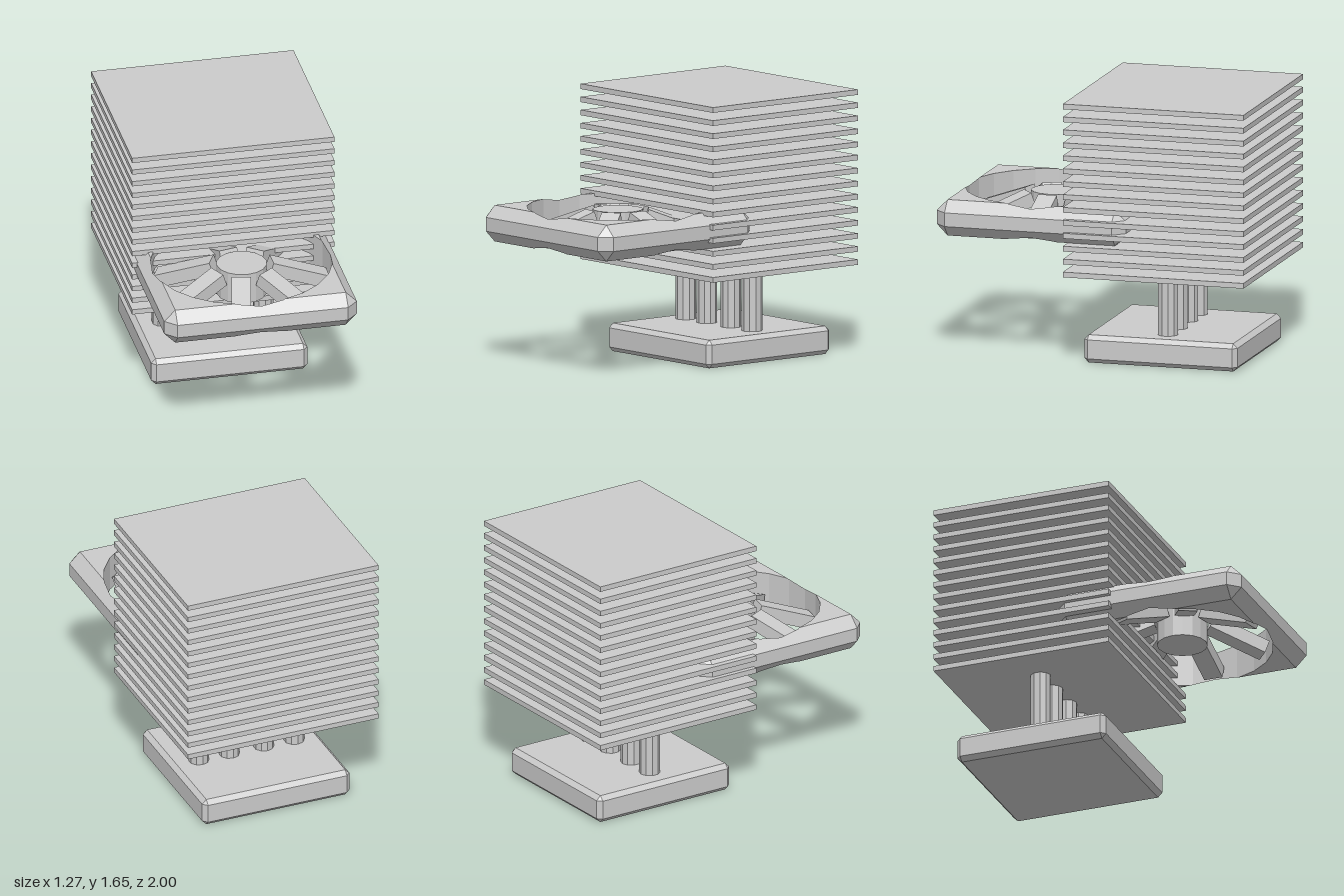
import * as THREE from 'three';
import { ConvexGeometry } from 'three/addons/geometries/ConvexGeometry.js';

const material = new THREE.MeshStandardMaterial({ color: 0xcccccc, flatShading: true });

function add(parent, name, geometry, x = 0, y = 0, z = 0) {
  const mesh = new THREE.Mesh(geometry, material);
  mesh.name = name;
  mesh.position.set(x, y, z);
  parent.add(mesh);
  return mesh;
}

// Box with every edge cut at 45 degrees
function bevelledBox(w, h, d, c) {
  const points = [];
  for (const sx of [-1, 1]) for (const sy of [-1, 1]) for (const sz of [-1, 1]) {
    for (const [a, b, e] of [[0, c, c], [c, 0, c], [c, c, 0]]) {
      points.push(new THREE.Vector3(sx * (w / 2 - a), sy * (h / 2 - b), sz * (d / 2 - e)));
    }
  }
  return new ConvexGeometry(points);
}

// Square bevelled frame with a 24-sided hole that cuts slightly into the bevel
function fanFrame(half, halfH, c, radius) {
  const flat = half - c;
  const hole = (k) => [radius * Math.cos(k * Math.PI / 12), radius * Math.sin(k * Math.PI / 12)];
  const [h0, h1, h2, h3] = [0, 1, 2, 3].map(hole);
  const t = (h1[0] - flat) / (h1[0] - h2[0]);
  const cross = [flat, h1[1] + t * (h2[1] - h1[1])];

  // Rows of [hole, rim, outer] points in plan, for one eighth of the frame
  const eighth = [h0, h1, cross, h2].map((p) => [p, [Math.max(p[0], flat), p[1]], [half, p[1]]]);
  eighth.push([h3, [flat, flat], [half, flat]]);
  const mirrored = eighth.slice(1).reverse().map((row) => row.map(([x, z]) => [z, x]));
  const quarter = [...eighth, ...mirrored];

  // Turn each row into a closed section and repeat it on four sides
  const height = ([x, z]) => halfH - Math.max(0, Math.max(x, z) - flat);
  const sections = [];
  for (let q = 0; q < 4; q++) {
    const cs = [1, 0, -1, 0][q], sn = [0, 1, 0, -1][q];
    for (const row of quarter) {
      const top = row.map(([x, z]) => [x * cs - z * sn, height([x, z]), x * sn + z * cs]);
      const bottom = top.map(([x, y, z]) => [x, -y, z]);
      sections.push([...bottom, ...top.reverse()]);
    }
  }

  // Join neighbouring sections, leaving out empty triangles
  const positions = [];
  const triangle = (a, b, d) => {
    const [A, B, D] = [a, b, d].map((p) => new THREE.Vector3(...p));
    if (B.sub(A).cross(D.sub(A)).length() > 1e-8) positions.push(...a, ...b, ...d);
  };
  sections.forEach((s, i) => {
    const next = sections[(i + 1) % sections.length];
    for (let j = 0; j < 6; j++) {
      const k = (j + 1) % 6;
      triangle(s[j], next[k], next[j]);
      triangle(s[j], s[k], next[k]);
    }
  });
  const geometry = new THREE.BufferGeometry();
  geometry.setAttribute('position', new THREE.Float32BufferAttribute(positions, 3));
  geometry.computeVertexNormals();
  return geometry;
}

export function createModel() {
  const model = new THREE.Group();
  model.name = 'towerCooler';
  const towerZ = -0.418;

  // Base block
  add(model, 'base', bevelledBox(0.984, 0.175, 0.984, 0.028), 0, 0.0875, towerZ);

  // Heat pipes
  const pipe = new THREE.CylinderGeometry(0.064, 0.064, 1.4, 10);
  for (const x of [-0.32, -0.117, 0.113, 0.317]) add(model, 'heatPipe', pipe, x, 0.86, towerZ);

  // Stack of cooling fins
  const fin = new THREE.BoxGeometry(1.275, 0.033, 1.16);
  for (let i = 0; i < 14; i++) add(model, 'coolingFin', fin, 0, 0.58 + i * 0.0813, -0.42);

  // Fan lying flat, reaching forward from between the fins
  const fan = new THREE.Group();
  fan.name = 'fan';
  fan.position.set(0, 0.872, 0.393);
  model.add(fan);
  add(fan, 'fanFrame', fanFrame(0.607, 0.113, 0.07, 0.56));
  add(fan, 'fanHub', new THREE.CylinderGeometry(0.156, 0.156, 0.2, 16));

  // Blades sloping down away from the hub
  const blade = new THREE.BoxGeometry(0.375, 0.085, 0.12);
  for (let i = 0; i < 7; i++) {
    const a = (i / 7) * Math.PI * 2;
    const mesh = add(fan, 'fanBlade', blade, 0.352 * Math.cos(a), 0, 0.352 * Math.sin(a));
    mesh.rotation.set(0, -a, -0.35);
  }
  return model;
}
